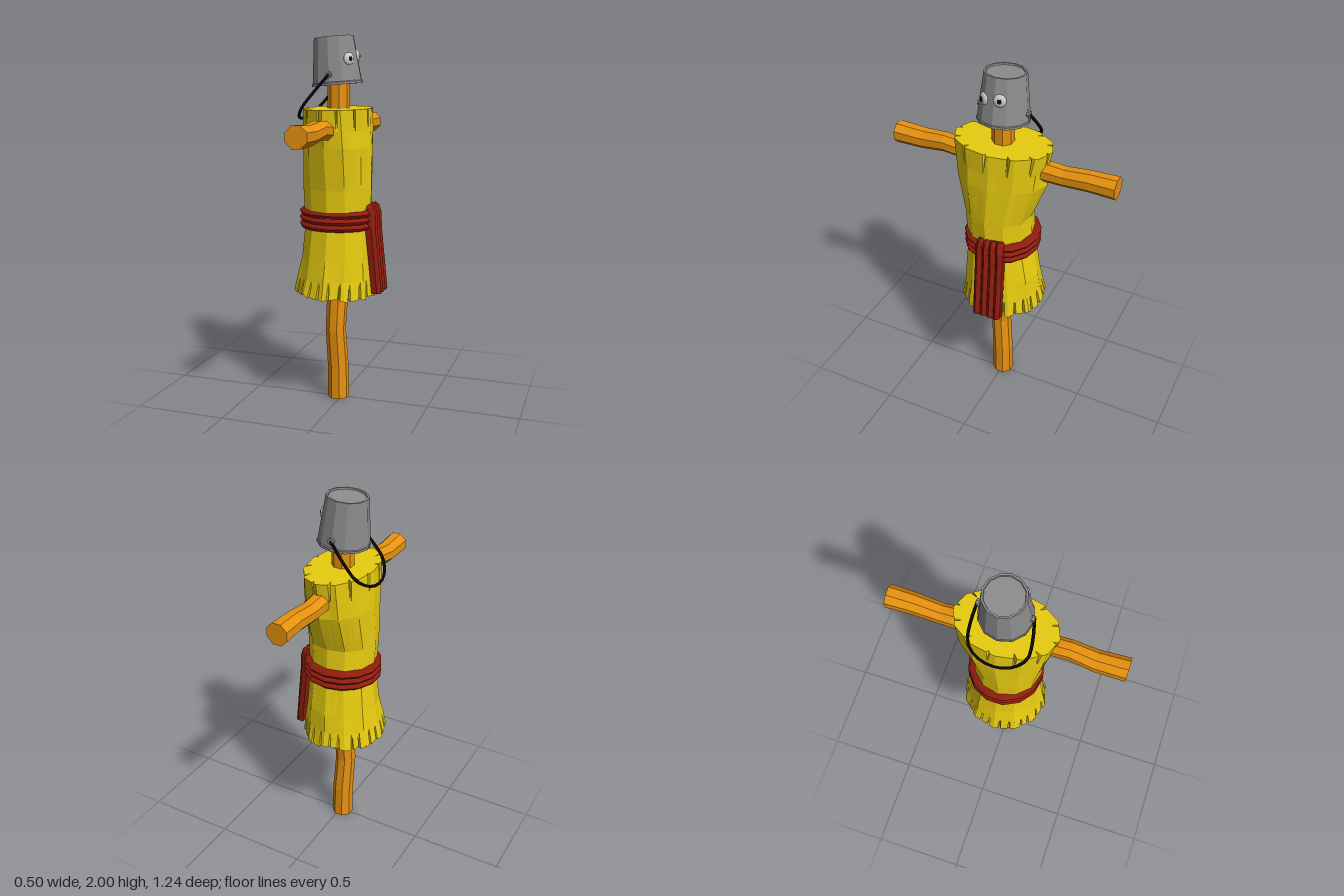
import * as THREE from 'three';

const mat = (color, extra = {}) =>
  new THREE.MeshStandardMaterial({ color, roughness: 0.9, flatShading: true, ...extra });
const straw = mat(0xe8cc10), wood = mat(0xe8920f), cloth = mat(0x8f1c0e), metal = mat(0x8c8c8c);
const black = mat(0x0c0c0c), eyeWhite = mat(0xc4c4c4, { flatShading: false });

let seed = 7;
const jitter = (amount) => {
  seed = (seed * 16807) % 2147483647;
  return (seed / 2147483647 - 0.5) * 2 * amount;
};

function add(parent, name, geometry, material) {
  const mesh = new THREE.Mesh(geometry, material);
  mesh.name = name;
  parent.add(mesh);
  return mesh;
}

// Skins closed rings of [x, y, z] points, listed from bottom to top, and caps both ends
function loft(rings) {
  const n = rings[0].length, last = rings.length - 1, pos = rings.flat(2), idx = [];
  for (let j = 0; j < last; j++) {
    for (let i = 0; i < n; i++) {
      const a = j * n + i, b = j * n + (i + 1) % n;
      idx.push(a, a + n, b, b, a + n, b + n);
    }
  }
  for (const [ring, flip] of [[0, true], [last, false]]) {
    const c = pos.length / 3;
    for (let k = 0; k < 3; k++) pos.push(rings[ring].reduce((s, p) => s + p[k], 0) / n);
    for (let i = 0; i < n; i++) {
      const a = ring * n + i, b = ring * n + (i + 1) % n;
      if (flip) idx.push(c, a, b); else idx.push(c, b, a);
    }
  }
  const g = new THREE.BufferGeometry();
  g.setAttribute('position', new THREE.Float32BufferAttribute(pos, 3));
  g.setIndex(idx);
  g.computeVertexNormals();
  return g;
}

// Crooked eight-sided log along y; stations are [y, xOffset, zOffset, radius]
const log = (stations) => loft(stations.map(([y, dx, dz, r]) =>
  Array.from({ length: 8 }, (_, i) => {
    const a = (i + 0.5) * Math.PI / 4;
    return [dx + r * 1.06 * Math.cos(a), y, dz + r * 1.06 * Math.sin(a)];
  })));

// Straw body: twelve-sided rings with V-shaped splits cut into both ends
function strawBody() {
  const sides = 12, w = 0.06, columns = [];
  for (let k = 0; k < sides; k++) {
    const f1 = 0.25 + jitter(0.08), f2 = 0.7 + jitter(0.08);
    const top = k % 3 ? 0.16 : 0.08, low = 0.1 + Math.abs(jitter(0.1));
    columns.push({ k, t: 0, cutTop: 0, cutLow: 0 });
    for (const [f, cutTop, cutLow] of [[f1, top, low], [f2, 0, low * 0.8]]) {
      columns.push({ k, t: f - w, cutTop: 0, cutLow: 0 });
      columns.push({ k, t: f, cutTop, cutLow });
      columns.push({ k, t: f + w, cutTop: 0, cutLow: 0 });
    }
  }
  // [y, centre x, radius x, centre z, radius z]
  const levels = [
    [0.62, -0.03, 0.23, 0, 0.24], [0.71, -0.025, 0.213, 0, 0.224], [0.82, -0.02, 0.2, 0, 0.207],
    [1.0, -0.015, 0.182, 0.005, 0.18], [1.2, -0.015, 0.187, 0.018, 0.185],
    [1.42, -0.015, 0.185, 0, 0.243], [1.51, -0.015, 0.18, 0, 0.255], [1.62, -0.015, 0.175, 0, 0.27],
  ];
  return loft(levels.map(([y, cx, rx, cz, rz], j) => {
    const end = j === 0 || j === levels.length - 1;
    const wobble = Array.from({ length: sides }, () => 1 + (end ? 0 : jitter(0.025)));
    return columns.map(({ k, t, cutTop, cutLow }) => {
      const corner = (i) => {
        const a = i * 2 * Math.PI / sides, s = wobble[i % sides];
        return [Math.cos(a) * s, Math.sin(a) * s];
      };
      const [x0, z0] = corner(k), [x1, z1] = corner(k + 1);
      const cut = 1 - (j === 0 ? cutLow : end ? cutTop : 0);
      const x = (x0 + (x1 - x0) * t) * cut, z = (z0 + (z1 - z0) * t) * cut;
      const ragged = j === 0 ? jitter(0.012) - x * 0.008 : 0;
      return [cx + rx * x, y + ragged, cz + rz * z];
    });
  }));
}

// Hanging sash end: pleated outer face, flat back, swept down and outward
function sashTail() {
  const steps = 16;
  const stations = [ // [y, back x, thickness, half width]
    [0.632, 0.195, 0.05, 0.081], [0.8, 0.178, 0.05, 0.081], [0.98, 0.158, 0.052, 0.08],
    [1.06, 0.145, 0.063, 0.078], [1.095, 0.14, 0.055, 0.072], [1.11, 0.145, 0.03, 0.066],
  ];
  return loft(stations.map(([y, x, d, w]) => {
    const ring = [];
    for (let i = 0; i <= steps; i++) {
      const u = i / steps;
      const pleat = Math.abs(Math.sin(u * Math.PI * 4));
      ring.push([x + d * (0.62 + 0.38 * pleat), y + (y > 1.07 ? 0.008 * pleat : 0), -0.013 + w * (2 * u - 1)]);
    }
    ring.push([x, y, -0.013 + w], [x, y, -0.013 - w]);
    return ring;
  }));
}

function bucketHead() {
  const head = new THREE.Group();
  head.name = 'bucketHead';
  head.position.set(-0.02, 1.742, 0);
  head.rotation.z = 0.085;

  // Open-bottomed bucket with a slightly recessed base on top
  const profile = [[0, 0.232], [0.094, 0.232], [0.125, 0], [0.137, 0], [0.137, 0.012], [0.133, 0.016],
    [0.107, 0.25], [0.097, 0.25], [0.095, 0.242], [0, 0.242]];
  add(head, 'bucket', new THREE.LatheGeometry(profile.map((p) => new THREE.Vector2(...p)), 12), metal);

  // Bulging eyes on the +x side
  for (const [y, angle] of [[0.127, 0.6], [0.142, -0.24]]) {
    const eye = new THREE.Group();
    eye.name = 'eye';
    eye.rotation.y = -angle;
    eye.position.y = y;
    const ball = add(eye, 'eyeball', new THREE.SphereGeometry(0.033, 16, 10), eyeWhite);
    ball.position.x = 0.115;
    ball.scale.x = 0.45;
    const pupil = add(eye, 'pupil', new THREE.SphereGeometry(0.012, 10, 8), black);
    pupil.position.x = 0.128;
    pupil.scale.x = 0.4;
    head.add(eye);
  }

  // Handle ears
  for (const s of [-1, 1]) {
    const ear = add(head, 'handleEar', new THREE.CylinderGeometry(0.015, 0.018, 0.022, 8), metal);
    ear.rotation.x = Math.PI / 2;
    ear.position.set(0, 0.055, s * 0.131);
  }
  return head;
}

export function createModel() {
  const model = new THREE.Group();
  model.name = 'scarecrow';

  add(model, 'post', log([
    [0, -0.015, 0, 0.056], [0.18, -0.016, 0.002, 0.055], [0.4, -0.026, 0.016, 0.053],
    [0.6, -0.02, 0, 0.055], [1.2, -0.015, 0, 0.055], [1.9, -0.015, 0, 0.055],
  ]), wood);

  // Crossbar lies along z; its offsets become x and -y
  const bar = add(model, 'crossbar', log([
    [-0.62, -0.015, 0, 0.057], [-0.48, -0.014, 0, 0.053], [-0.34, -0.016, 0.012, 0.05],
    [-0.2, -0.015, 0.005, 0.055], [0.2, -0.01, 0, 0.05], [0.33, -0.01, -0.012, 0.049],
    [0.46, -0.018, 0.004, 0.053], [0.62, -0.015, 0, 0.057],
  ]), wood);
  bar.rotation.x = Math.PI / 2;
  bar.position.y = 1.512;

  add(model, 'strawBody', strawBody(), straw);

  // Sash wrapped around the waist with three folds
  const folds = [new THREE.Vector2(0.165, 0.975)];
  for (let i = 0; i <= 12; i++) {
    folds.push(new THREE.Vector2(0.19 + 0.017 * Math.abs(Math.sin(i * Math.PI / 4)), 0.978 + i * 0.0088));
  }
  folds.push(new THREE.Vector2(0.165, 1.088));
  const sash = add(model, 'sash', new THREE.LatheGeometry(folds, 14), cloth);
  sash.scale.x = 1.03;
  sash.position.x = -0.015;
  add(model, 'sashTail', sashTail(), cloth);

  model.add(bucketHead());

  // Bail handle drooping towards the back
  const bail = new THREE.CatmullRomCurve3([
    [-0.02, 0.137], [-0.1, 0.155], [-0.165, 0.15], [-0.21, 0.08], [-0.222, 0],
    [-0.21, -0.08], [-0.17, -0.142], [-0.1, -0.15], [-0.02, -0.137],
  ].map(([x, z]) => new THREE.Vector3(x, 1.8 + (x + 0.02) * 1.18, z)));
  add(model, 'bailHandle', new THREE.TubeGeometry(bail, 20, 0.008, 6), black);

  return model;
}
